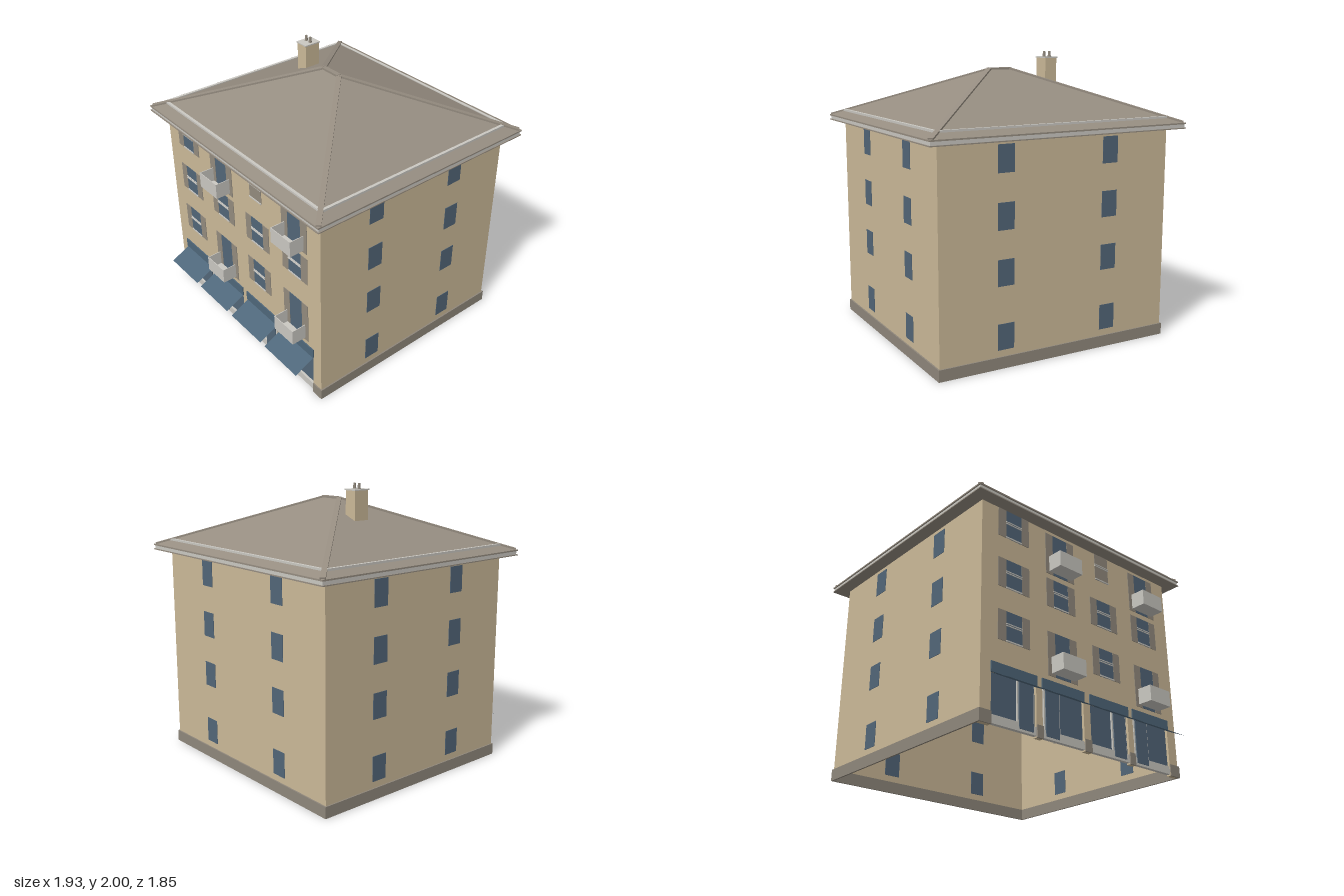
import * as THREE from 'three';

const mat = (name, color, side = THREE.FrontSide) => {
  const m = new THREE.MeshStandardMaterial({ color, side });
  m.name = name;
  return m;
};

export function createModel() {
  const plaster = mat('cream plaster', 0xcbb998, THREE.DoubleSide);
  const glass = mat('blue grey glass', 0x526678);
  const canvas = mat('blue awning', 0x4f677a, THREE.DoubleSide);
  const light = mat('light grey trim', 0xcac8c2);
  const shutterMat = mat('grey shutter', 0x938b7e);
  const stone = mat('grey plinth', 0x8f877b);
  const tile = mat('roof tile', 0x968d81);

  const model = new THREE.Group();
  model.name = 'townHouse';
  const add = (name, geometry, material, parent = model) => {
    const mesh = new THREE.Mesh(geometry, material);
    mesh.name = name;
    parent.add(mesh);
    return mesh;
  };
  // Box given by its limits on each axis
  const box = (name, material, x0, x1, y0, y1, z0, z1, parent = model) => {
    const mesh = add(name, new THREE.BoxGeometry(x1 - x0, y1 - y0, z1 - z0), material, parent);
    mesh.position.set((x0 + x1) / 2, (y0 + y1) / 2, (z0 + z1) / 2);
    return mesh;
  };

  const W = 0.872, ZF = 0.774, ZB = -0.827, TOP = 1.5, ZC = -0.03;
  const shops = [[-0.79, -0.435], [-0.385, -0.03], [0.03, 0.385], [0.435, 0.79]];

  // Front wall, notched for the four shops
  const front = new THREE.Shape();
  front.moveTo(-W, 0);
  for (const [a, b] of shops) {
    front.lineTo(a, 0);
    front.lineTo(a, 0.33);
    front.lineTo(b, 0.33);
    front.lineTo(b, 0);
  }
  front.lineTo(W, 0);
  front.lineTo(W, TOP);
  front.lineTo(-W, TOP);
  const frontWall = add('frontWall',
    new THREE.ExtrudeGeometry(front, { depth: 0.03, bevelEnabled: false }), plaster);
  frontWall.position.z = ZF - 0.03;

  // Back and side walls, open underneath
  const back = add('backWall', new THREE.PlaneGeometry(2 * W, TOP), plaster);
  back.position.set(0, TOP / 2, ZB);
  back.rotation.y = Math.PI;
  for (const s of [-1, 1]) {
    const side = add('sideWall', new THREE.PlaneGeometry(ZF - ZB, TOP), plaster);
    side.position.set(s * W, TOP / 2, (ZF + ZB) / 2);
    side.rotation.y = s * Math.PI / 2;
  }

  // Plinth, broken at the shops
  const P = 0.882;
  box('backPlinth', stone, -P, P, 0, 0.08, ZB - 0.01, ZB + 0.002);
  for (const s of [-1, 1]) {
    const xs = [s * (W - 0.002), s * P].sort((a, b) => a - b);
    box('sidePlinth', stone, ...xs, 0, 0.08, ZB, ZF);
  }
  const edges = [-P, ...shops.flat(), P];
  for (let i = 0; i < edges.length; i += 2) {
    box('frontPlinth', stone, edges[i], edges[i + 1], 0, 0.08, ZF - 0.002, ZF + 0.008);
  }

  // Shopfronts: outer pair and inner pair mirror each other
  const buildShop = (s, x0, x1, pane, door, strip) => {
    const g = new THREE.Group();
    g.name = 'shop';
    model.add(g);
    const part = (name, m, a, b, ...rest) =>
      box(name, m, Math.min(s * a, s * b), Math.max(s * a, s * b), ...rest, g);
    part('shopBase', light, x0, x1, 0.01, 0.065, 0.745, 0.772);
    part('shopGlass', glass, pane[0], pane[1], 0.065, 0.33, 0.748, 0.756);
    part('shopDoor', glass, door[0], door[1], 0.025, 0.33, 0.742, 0.775);
    part('shopSideGlass', glass, strip[0], strip[1], 0.065, 0.33, 0.748, 0.756);
    // Light posts fill the gaps between panes
    const marks = [pane, door, strip].sort((a, b) => a[0] - b[0]);
    for (let i = 0; i < 2; i++) {
      part('shopPost', light, marks[i][1], marks[i + 1][0], 0.065, 0.33, 0.745, 0.768);
    }
    part('shopSign', canvas, x0 - 0.005, x1 + 0.005, 0.322, 0.392, ZF, ZF + 0.008);
    // Sloping awning sheet
    const y0 = 0.316, y1 = 0.245, z0 = ZF + 0.004, z1 = 0.924;
    const awning = add('awning',
      new THREE.PlaneGeometry(x1 - x0, Math.hypot(y0 - y1, z1 - z0)), canvas, g);
    awning.position.set(s * (x0 + x1) / 2, (y0 + y1) / 2, (z0 + z1) / 2);
    awning.rotation.x = -Math.atan2(z1 - z0, y0 - y1);
  };
  for (const s of [-1, 1]) {
    buildShop(s, 0.435, 0.79, [0.583, 0.79], [0.46, 0.572], [0.435, 0.45]);
    buildShop(s, 0.03, 0.385, [0.03, 0.235], [0.246, 0.357], [0.368, 0.385]);
  }

  // Upper front windows
  const shutters = (x, y0, y1, g) => {
    for (const s of [-1, 1]) {
      box('shutter', shutterMat, x + s * 0.097 - 0.032, x + s * 0.097 + 0.032,
        y0, y1, ZF - 0.001, ZF + 0.004, g);
    }
  };
  const buildWindow = (x, y, closed) => {
    const g = new THREE.Group();
    g.name = 'frontWindow';
    model.add(g);
    box('windowPane', closed ? shutterMat : glass, x - 0.065, x + 0.065, y, y + 0.205,
      ZF - 0.001, ZF + 0.003, g);
    if (!closed) shutters(x, y, y + 0.205, g);
    box('windowSill', light, x - 0.066, x + 0.066, y, y + 0.009, ZF, ZF + 0.008, g);
    for (const h of [0.107, 0.12]) {
      box('windowRail', light, x - 0.066, x + 0.066, y + h - 0.003, y + h + 0.003,
        ZF, ZF + 0.008, g);
    }
  };
  const buildBalcony = (x, y) => {
    const g = new THREE.Group();
    g.name = 'balconyWindow';
    model.add(g);
    box('balconyDoor', glass, x - 0.065, x + 0.065, y, y + 0.305, ZF - 0.001, ZF + 0.003, g);
    shutters(x, y, y + 0.305, g);
    const b = y + 0.018, t = y + 0.13, z = 0.884;
    box('balconyFloor', light, x - 0.1, x + 0.1, b, b + 0.008, ZF, z, g);
    box('balconyFront', light, x - 0.1, x + 0.1, b, t, z - 0.005, z, g);
    for (const s of [-1, 1]) {
      box('balconySide', light, x + s * 0.0975 - 0.0025, x + s * 0.0975 + 0.0025,
        b, t, ZF, z, g);
    }
  };
  const columns = [-0.612, -0.203, 0.203, 0.612];
  columns.forEach((x, i) => {
    buildWindow(x, 0.915, false);
    if (i % 2) {
      buildBalcony(x, 0.427);
      buildBalcony(x, 1.158);
    } else {
      buildWindow(x, 0.55, false);
      buildWindow(x, 1.28, i === 2);
    }
  });

  // Plain windows on the sides and back
  for (const [y0, y1] of [[0.125, 0.3], [0.55, 0.725], [0.915, 1.093], [1.28, 1.46]]) {
    for (const s of [-1, 1]) {
      for (const z of [-0.374, 0.322]) {
        box('sideWindow', glass, s * W - 0.003, s * W + 0.003, y0, y1, z - 0.058, z + 0.058);
      }
      box('backWindow', glass, s * 0.398 - 0.06, s * 0.398 + 0.06, y0, y1, ZB - 0.003, ZB + 0.003);
    }
  }

  // Eaves: light fascia with a dark soffit and tile lip
  const EX = 0.963, EZ = 0.893, EY = 1.525, RY = 1.88, RX = 0.08;
  box('fascia', [light, light, tile, tile, light, light],
    -EX + 0.008, EX - 0.008, 1.492, EY - 0.005, ZC - EZ + 0.008, ZC + EZ - 0.008);
  box('soffitLip', tile, -EX, EX, 1.486, 1.493, ZC - EZ, ZC + EZ);
  box('eavesLip', tile, -EX, EX, EY - 0.008, EY + 0.002, ZC - EZ, ZC + EZ);

  // Hipped roof with a short ridge
  const A = [-EX, EY, ZC + EZ], B = [EX, EY, ZC + EZ];
  const C = [EX, EY, ZC - EZ], D = [-EX, EY, ZC - EZ];
  const L = [-RX, RY, ZC], R = [RX, RY, ZC];
  const roof = new THREE.BufferGeometry();
  roof.setAttribute('position', new THREE.Float32BufferAttribute(
    [A, B, R, A, R, L, B, C, R, C, D, L, C, L, R, D, A, L].flat(), 3));
  roof.computeVertexNormals();
  add('roof', roof, tile);

  // Hip and ridge caps
  const cap = (name, p, q) => {
    const a = new THREE.Vector3(...p), b = new THREE.Vector3(...q);
    const bar = add(name, new THREE.BoxGeometry(0.034, 0.016, a.distanceTo(b)), tile);
    bar.position.copy(a).add(b).multiplyScalar(0.5);
    bar.lookAt(b);
  };
  const inset = ([x, y, z]) => [x * 0.985, y + 0.005, ZC + (z - ZC) * 0.985];
  for (const [p, q] of [[A, L], [B, R], [C, R], [D, L]]) cap('hipCap', inset(p), q);
  cap('ridgeCap', L, R);

  // Light snow guards just above the eaves
  for (const s of [-1, 1]) {
    const z = ZC + s * 0.804;
    box('snowGuard', light, -0.86, 0.86, 1.55, 1.57, z - 0.01, z + 0.01);
    box('snowGuard', light, s * 0.878 - 0.01, s * 0.878 + 0.01, 1.55, 1.57, ZC - 0.79, ZC + 0.79);
  }

  // Chimney with cap and two pots
  box('chimney', plaster, -0.396, -0.303, 1.65, 1.955, -0.165, -0.048);
  box('chimneyCap', light, -0.402, -0.297, 1.953, 1.962, -0.171, -0.042);
  for (const x of [-0.372, -0.328]) {
    const pot = add('chimneyPot', new THREE.CylinderGeometry(0.008, 0.012, 0.04, 12), stone);
    pot.position.set(x, 1.98, -0.108);
  }
  return model;
}
